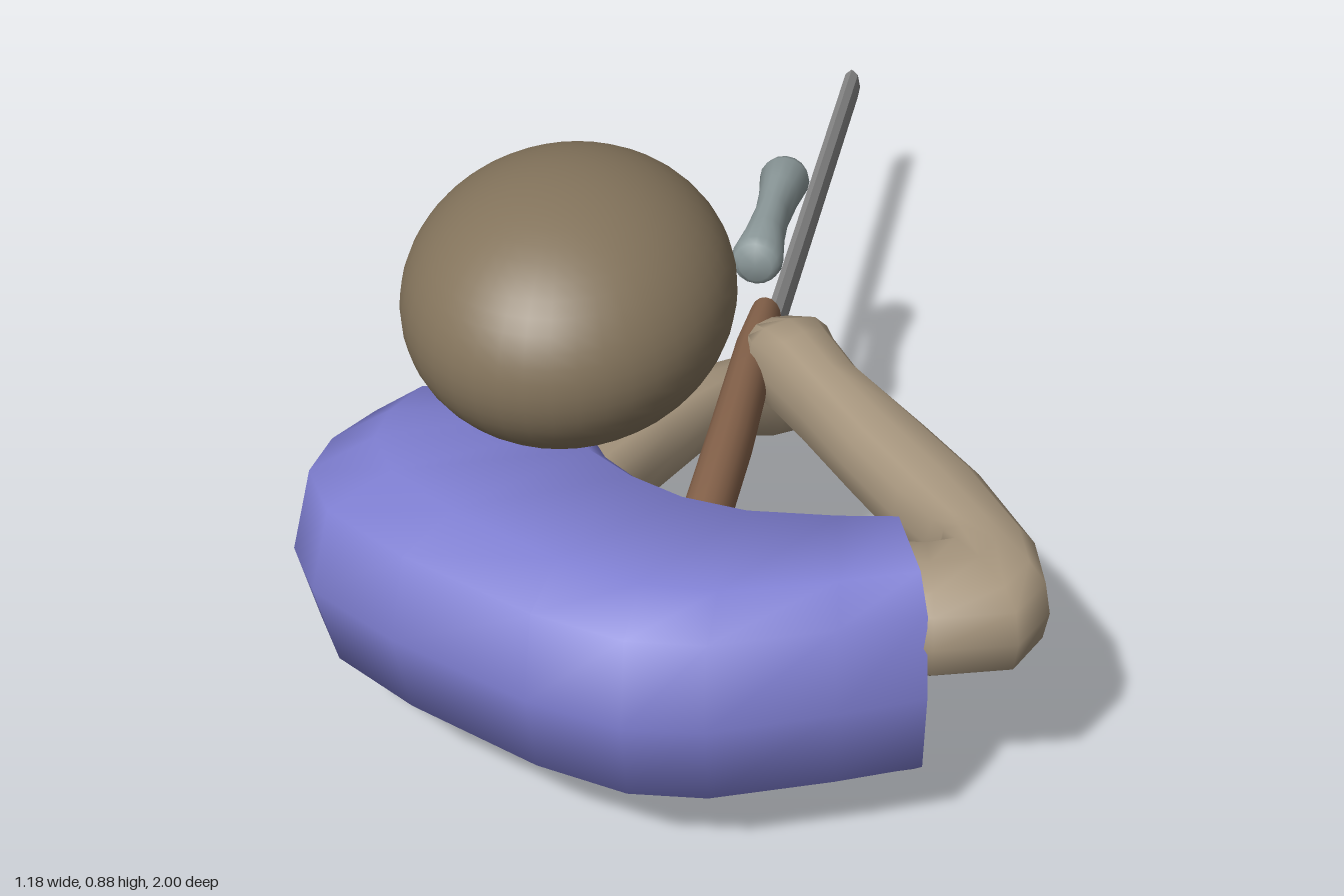
import * as THREE from 'three';
import { toCreasedNormals } from 'three/addons/utils/BufferGeometryUtils.js';

// Cross-section shapes as (side, up) pairs, counter-clockwise
const ngon = (n, power = 1) => Array.from({ length: n }, (_, i) => {
  const a = (i / n) * Math.PI * 2;
  const f = t => Math.sign(t) * Math.pow(Math.abs(t), power);
  return [f(Math.cos(a)), f(Math.sin(a))];
});
const LIMB = ngon(12, 0.72);
const ROUND = ngon(16);
const TORSO = [[1, 0], [0.86, 0.76], [0.42, 1], [-0.82, 1], [-0.96, 0.86],
  [-1, 0], [-0.96, -0.86], [-0.82, -1], [0.42, -1], [0.86, -0.76]];

// Row: [ax, az, bx, bz, yLow, yHigh, lean]; a and b are the two side edges
// in plan, lean pushes the upper half along z.
function loft(name, rows, shape, color, crease = 1.15) {
  const n = shape.length, pos = [], idx = [];
  const centre = ([ax, az, bx, bz, y0, y1]) => [(ax + bx) / 2, (y0 + y1) / 2, (az + bz) / 2];
  for (const r of rows) {
    const [cx, cy, cz] = centre(r);
    for (const [u, v] of shape) {
      pos.push(cx + (r[0] - r[2]) / 2 * u, cy + (r[5] - r[4]) / 2 * v,
        cz + (r[1] - r[3]) / 2 * u + (r[6] || 0) * v);
    }
  }
  const last = rows.length - 1, c0 = rows.length * n;
  pos.push(...centre(rows[0]), ...centre(rows[last]));
  for (let j = 0; j < n; j++) {
    const k = (j + 1) % n;
    for (let i = 0; i < last; i++) {
      const a = i * n + j, b = i * n + k;
      idx.push(a, b, a + n, b, b + n, a + n);
    }
    idx.push(c0, k, j, c0 + 1, last * n + j, last * n + k);
  }
  const g = new THREE.BufferGeometry();
  g.setAttribute('position', new THREE.Float32BufferAttribute(pos, 3));
  g.setIndex(idx);
  return part(name, toCreasedNormals(g, crease), color);
}

function part(name, geometry, color) {
  const mesh = new THREE.Mesh(geometry, new THREE.MeshStandardMaterial({ color }));
  mesh.name = name;
  return mesh;
}

// Straight row heading along -z
const along = (x, z, w, y, h) => [x - w, z, x + w, z, y - h, y + h];

export function createModel() {
  const model = new THREE.Group();
  const shirt = 0x7f7fd2, skin = 0xa8977f;

  // Curved shoulders, the far one dropping down into its sleeve
  model.add(loft('torso', [
    [0.425, 0.85, 0.345, 0.645, 0.115, 0.485],
    [0.3, 0.91, 0.26, 0.655, 0.115, 0.485],
    [0.12, 0.985, 0.13, 0.66, 0.115, 0.485],
    [0, 0.998, 0.03, 0.64, 0.115, 0.485],
    [-0.15, 0.96, -0.05, 0.6, 0.115, 0.485],
    [-0.38, 0.855, -0.11, 0.55, 0.115, 0.485],
    [-0.53, 0.76, -0.14, 0.5, 0.115, 0.485],
    [-0.59, 0.66, -0.16, 0.46, 0.115, 0.485],
    [-0.58, 0.56, -0.18, 0.42, 0.115, 0.48],
    [-0.54, 0.45, -0.21, 0.365, 0.115, 0.455, -0.015],
    [-0.475, 0.36, -0.25, 0.315, 0.12, 0.39, -0.05],
  ], TORSO, shirt));

  // Head
  const head = part('head', new THREE.SphereGeometry(1, 40, 28), 0x84745c);
  head.scale.set(0.255, 0.206, 0.297);
  head.position.set(-0.19, 0.681, 0.447);
  model.add(head);

  // Bent arm holding the grip
  model.add(loft('leftArm', [
    [0.33, 0.66, 0.37, 0.84, 0.31, 0.47],
    [0.39, 0.65, 0.43, 0.845, 0.3, 0.47],
    [0.41, 0.635, 0.55, 0.81, 0.3, 0.47],
    [0.405, 0.615, 0.587, 0.73, 0.305, 0.47],
    [0.385, 0.59, 0.56, 0.625, 0.305, 0.465],
    [0.325, 0.525, 0.455, 0.455, 0.31, 0.46],
    [0.235, 0.415, 0.355, 0.34, 0.315, 0.46],
    [0.14, 0.285, 0.23, 0.21, 0.31, 0.465],
    [0.08, 0.21, 0.175, 0.125, 0.305, 0.47],
    [0.035, 0.165, 0.16, 0.085, 0.31, 0.465],
    [0.025, 0.125, 0.1, 0.065, 0.335, 0.445],
  ], LIMB, skin));

  // Extended arm supporting the front
  model.add(loft('rightArm', [
    [-0.46, 0.44, -0.27, 0.48, 0.125, 0.24],
    [-0.39, 0.32, -0.19, 0.35, 0.1, 0.243],
    [-0.32, 0.22, -0.15, 0.22, 0.083, 0.24],
    [-0.25, 0.12, -0.1, 0.1, 0.077, 0.235],
    [-0.195, 0.02, -0.05, 0, 0.088, 0.225],
    [-0.16, -0.06, -0.015, -0.07, 0.088, 0.212],
    [-0.11, -0.14, 0.01, -0.11, 0.05, 0.195],
    [-0.075, -0.2, 0.045, -0.17, 0.02, 0.17, -0.01],
    [-0.04, -0.265, 0.08, -0.23, 0.003, 0.145, -0.02],
    [-0.005, -0.305, 0.075, -0.27, 0.015, 0.125, -0.02],
  ], LIMB, skin));

  // Wooden stock
  model.add(loft('stock', [
    along(0.042, 0.69, 0.03, 0.37, 0.035),
    along(0.042, 0.65, 0.038, 0.37, 0.047),
    along(0.04, 0.35, 0.038, 0.367, 0.05),
    along(0.033, 0.08, 0.034, 0.365, 0.052),
    along(0.03, -0.035, 0.026, 0.365, 0.035),
  ], ROUND, 0x85624a));

  // Tall, narrow barrel
  model.add(loft('barrel',
    [along(0.03, -0.03, 0.017, 0.291, 0.037), along(0.03, -1, 0.017, 0.291, 0.037)],
    ngon(8), 0x8a8a8a, 0.4));

  // Sight, pinched in the middle with rounded ends
  model.add(loft('sight', [
    along(0.028, 0.06, 0.028, 0.518, 0.028),
    along(0.028, 0.052, 0.038, 0.518, 0.038),
    along(0.028, 0.035, 0.043, 0.518, 0.043),
    along(0.028, -0.03, 0.034, 0.518, 0.043),
    along(0.028, -0.1, 0.029, 0.518, 0.043),
    along(0.028, -0.17, 0.034, 0.518, 0.043),
    along(0.028, -0.23, 0.043, 0.518, 0.043),
    along(0.028, -0.245, 0.038, 0.518, 0.038),
    along(0.028, -0.253, 0.028, 0.518, 0.028),
  ], ROUND, 0x8c999a));

  return model;
}
